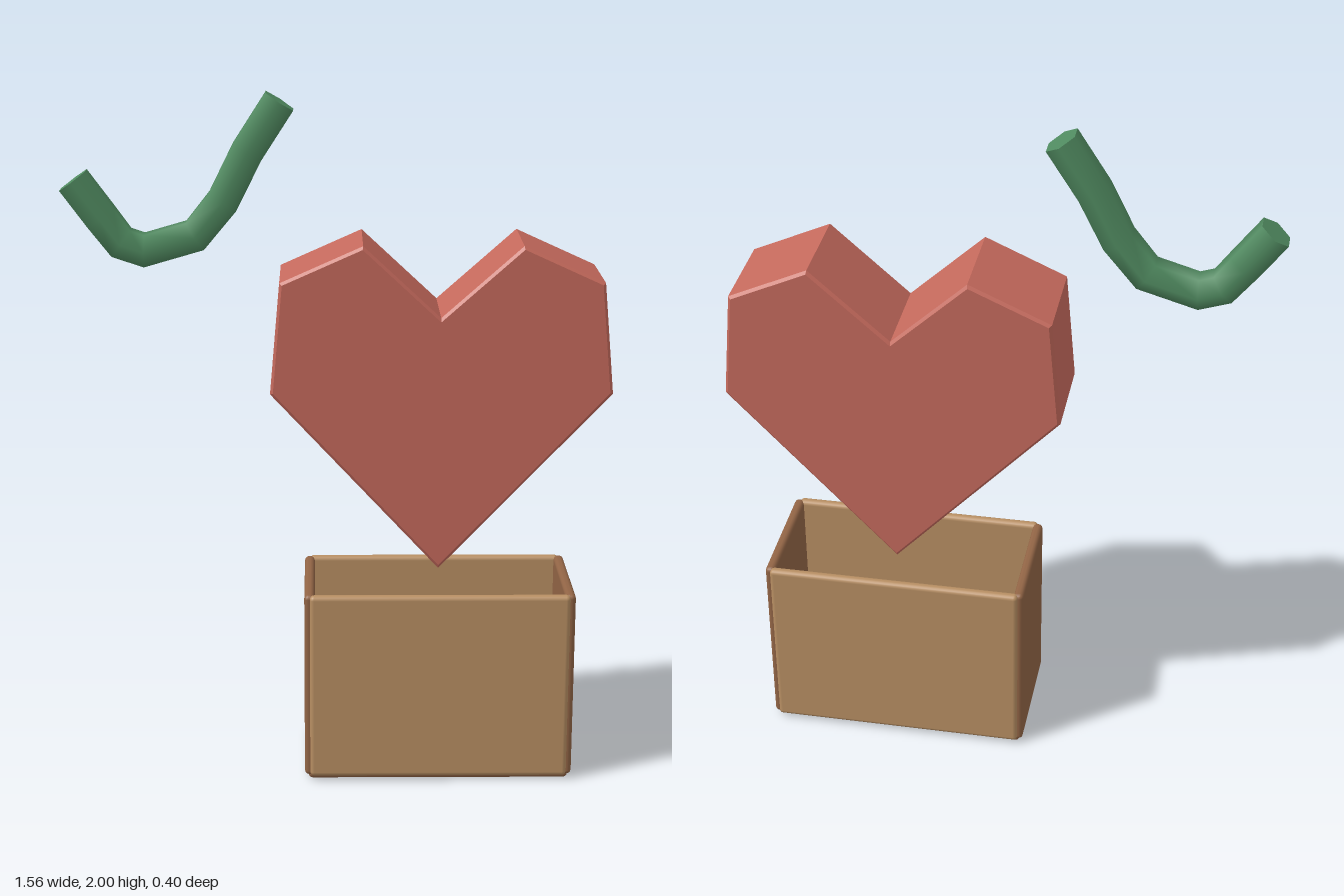
import * as THREE from 'three';
import { RoundedBoxGeometry } from 'three/addons/geometries/RoundedBoxGeometry.js';

const mat = (name, color) => {
  const m = new THREE.MeshStandardMaterial({ color });
  m.name = name;
  return m;
};

// Straight-segment path, one tube ring per point
class Polyline extends THREE.Curve {
  constructor(points) {
    super();
    this.points = points;
  }
  getPoint(t, target = new THREE.Vector3()) {
    const last = this.points.length - 1;
    const s = THREE.MathUtils.clamp(t, 0, 1) * last;
    const i = Math.min(Math.floor(s), last - 1);
    return target.lerpVectors(this.points[i], this.points[i + 1], s - i);
  }
  getPointAt(t, target) {
    return this.getPoint(t, target);
  }
  getTangentAt(t, target = new THREE.Vector3()) {
    const e = 0.02;
    const dir = (a, b) => this.getPoint(b).sub(this.getPoint(a)).normalize();
    if (t < e) return target.copy(dir(0, e));
    if (t > 1 - e) return target.copy(dir(1 - e, 1));
    return target.copy(dir(t - e, t).add(dir(t, t + e)).normalize());
  }
}

export function createModel() {
  const model = new THREE.Group();
  const red = mat('heart red', 0xc4695c);
  const tan = mat('light wood', 0xb88f63);
  const brown = mat('dark wood', 0x925f3f);
  brown.color.set(0x916445);
  const green = mat('stem green', 0x508a60);

  const add = (parent, name, geometry, material, x = 0, y = 0, z = 0) => {
    const mesh = new THREE.Mesh(geometry, material);
    mesh.name = name;
    mesh.position.set(x, y, z);
    parent.add(mesh);
    return mesh;
  };

  // Open box: floor, two long panels, two end panels
  const box = new THREE.Group();
  box.name = 'openBox';
  box.position.x = 0.295;
  model.add(box);
  const slab = (w, h, d) => new RoundedBoxGeometry(w, h, d, 2, 0.013);
  add(box, 'boxFloor', slab(0.765, 0.03, 0.37), brown, 0, 0.015, 0);
  for (const s of [1, -1]) {
    add(box, s > 0 ? 'boxFront' : 'boxBack', slab(0.755, 0.56, 0.03), tan, 0, 0.292, s * 0.183);
    add(box, s > 0 ? 'boxLeftEnd' : 'boxRightEnd', slab(0.03, 0.56, 0.375), brown, s * 0.378, 0.292, 0);
  }

  // Faceted heart with a fine bevel
  const outline = [
    [0.29, 0.64], [0.78, 1.16], [0.75, 1.48], [0.52, 1.585],
    [0.29, 1.38], [0.07, 1.585], [-0.165, 1.48], [-0.193, 1.16],
  ].map(([x, y]) => new THREE.Vector2(x, y));
  const bevel = 0.008;
  const heart = new THREE.ExtrudeGeometry(new THREE.Shape(outline), {
    depth: 0.29 - 2 * bevel, bevelSize: bevel, bevelThickness: bevel,
    bevelOffset: -bevel, bevelSegments: 1,
  });
  heart.translate(0, 0, -0.145 + bevel);
  add(model, 'heart', heart, red);

  // Curved six-sided stem with closed ends
  const path = new Polyline([
    [-0.747, 1.75], [-0.67, 1.645], [-0.615, 1.572], [-0.55, 1.55],
    [-0.405, 1.592], [-0.325, 1.69], [-0.255, 1.83], [-0.163, 1.972],
  ].map(([x, y]) => new THREE.Vector3(x, y, 0)));
  const stem = new THREE.Group();
  stem.name = 'stem';
  model.add(stem);
  const radius = 0.053;
  add(stem, 'stemTube', new THREE.TubeGeometry(path, 7, radius, 6, false), green);
  const across = new THREE.Vector3(0, 0, 1);
  for (const t of [0, 1]) {
    const out = path.getTangentAt(t).multiplyScalar(t ? 1 : -1);
    const p = path.getPoint(t);
    const cap = add(stem, t ? 'stemTopCap' : 'stemTipCap', new THREE.CircleGeometry(radius, 6), green, p.x, p.y, p.z);
    const up = new THREE.Vector3().crossVectors(out, across);
    cap.quaternion.setFromRotationMatrix(new THREE.Matrix4().makeBasis(across, up, out));
  }

  return model;
}
